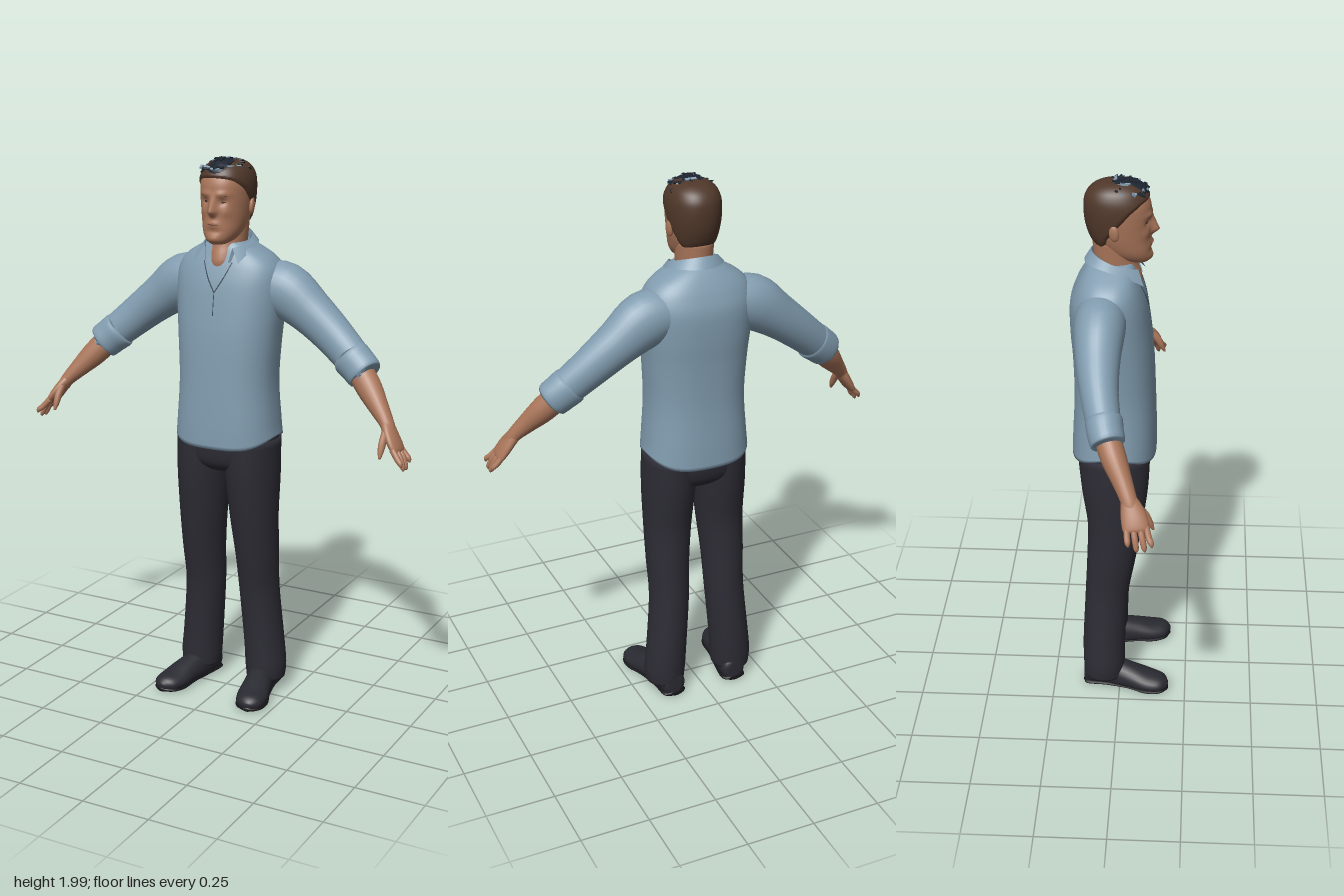
import * as THREE from 'three';

const mat = (name, color, side = THREE.FrontSide) => {
  const m = new THREE.MeshStandardMaterial({ color, side });
  m.name = name;
  return m;
};
const V = (x, y, z) => new THREE.Vector3(x, y, z);
const lerp = THREE.MathUtils.lerp;
const clamp = THREE.MathUtils.clamp;

// Catmull-Rom subdivision of rows of numbers
function smooth(rows, n = 4) {
  const out = [];
  for (let i = 0; i < rows.length - 1; i++) {
    const [a, b, c, d] = [rows[Math.max(i - 1, 0)], rows[i], rows[i + 1], rows[Math.min(i + 2, rows.length - 1)]];
    for (let k = 0; k < n; k++) {
      const t = k / n;
      out.push(b.map((_, j) => b[j] + 0.5 * t * (c[j] - a[j] + t * (2 * a[j] - 5 * b[j] + 4 * c[j] - d[j]
        + t * (3 * (b[j] - c[j]) + d[j] - a[j])))));
    }
  }
  out.push(rows[rows.length - 1]);
  return out;
}

// Skin a list of rings; closed rings wrap around and get end caps
function skinRings(rings, closed = true) {
  const n = rings[0].length, pos = [], idx = [];
  rings.forEach(r => r.forEach(p => pos.push(p.x, p.y, p.z)));
  for (let i = 0; i < rings.length - 1; i++) {
    for (let j = 0; j < (closed ? n : n - 1); j++) {
      const k = (j + 1) % n, a = i * n + j, b = i * n + k;
      idx.push(a, b, b + n, a, b + n, a + n);
    }
  }
  if (closed) [0, rings.length - 1].forEach((r, end) => {
    const c = rings[r].reduce((s, p) => s.add(p), V(0, 0, 0)).divideScalar(n);
    const m = pos.length / 3;
    pos.push(c.x, c.y, c.z);
    for (let j = 0; j < n; j++) {
      const a = r * n + j, b = r * n + (j + 1) % n;
      if (end) idx.push(a, b, m); else idx.push(b, a, m);
    }
  });
  const g = new THREE.BufferGeometry();
  g.setAttribute('position', new THREE.Float32BufferAttribute(pos, 3));
  g.setIndex(idx);
  g.computeVertexNormals();
  return g;
}

// Upright body section rows: [y, half width, front z, back z]
function body(rows, n, exp, move = p => p, sub = 4) {
  return skinRings(smooth(rows, sub).map(([y, w, f, b]) => Array.from({ length: n }, (_, j) => {
    const t = j / n * Math.PI * 2, s = Math.sin(t), c = Math.cos(t), e = 2 / exp;
    return move(V(w * Math.sign(s) * Math.abs(s) ** e, y, (f + b) / 2 + (f - b) / 2 * Math.sign(c) * Math.abs(c) ** e), t);
  })));
}

// Limb rows: [x, y, z, radius along ref, radius across]
function limb(rows, side = 1, n = 20, ref = V(0, 0, 1), sub = 4) {
  const r = smooth(rows, sub), c = r.map(q => V(q[0] * side, q[1], q[2]));
  return skinRings(r.map((q, i) => {
    const d = c[Math.min(i + 1, c.length - 1)].clone().sub(c[Math.max(i - 1, 0)]).normalize();
    const u = ref.clone().addScaledVector(d, -ref.dot(d)).normalize();
    const v = d.clone().cross(u);
    return Array.from({ length: n }, (_, j) => {
      const t = j / n * Math.PI * 2;
      return c[i].clone().addScaledVector(u, q[3] * Math.cos(t)).addScaledVector(v, q[4] * Math.sin(t));
    });
  }));
}

const HEAD = [[1.698, .025, .088, .02], [1.712, .048, .1, -.02], [1.74, .066, .103, -.06], [1.78, .077, .1, -.095],
  [1.82, .083, .1, -.112], [1.86, .087, .101, -.12], [1.9, .088, .1, -.122], [1.93, .083, .09, -.117],
  [1.955, .07, .073, -.1], [1.972, .045, .045, -.07], [1.978, .012, .01, -.03]];

// Soft bumps for the brow, eye sockets, lips, chin and nose
function face(p) {
  if (p.z < 0.03) return p;
  const g = (x, y, sx, sy) => Math.exp(-(((Math.abs(p.x) - x) / sx) ** 2) - ((p.y - y) / sy) ** 2);
  p.z += .006 * g(.03, 1.873, .025, .01) - .009 * g(.033, 1.846, .015, .012) + .006 * g(0, 1.77, .022, .012)
    - .004 * g(0, 1.745, .03, .008) + .006 * g(0, 1.718, .025, .013) + .004 * g(.045, 1.81, .015, .015);
  const k = p.y > 1.812 ? clamp((1.875 - p.y) / .063, 0, 1) : clamp((p.y - 1.79) / .022, 0, 1);
  p.z += .03 * k * Math.exp(-((p.x / lerp(.009, .014, k)) ** 2));
  return p;
}

// Hair is the head shape pushed outward behind the hairline and inward in front of it
const LINE = [[1.735, -.2], [1.745, -.06], [1.8, -.045], [1.85, -.005], [1.89, .03], [1.92, .07], [1.94, .13], [2.1, .2]];
function hairMove(p) {
  const i = clamp(LINE.findIndex(l => l[0] > p.y), 1, LINE.length - 1), [a, b] = [LINE[i - 1], LINE[i]];
  const z = lerp(a[1], b[1], clamp((p.y - a[0]) / (b[0] - a[0]), 0, 1));
  const k = clamp((z - p.z) / .012, -1, 1) * .007;
  return p.add(V(p.x, p.y - 1.86, p.z + .01).normalize().multiplyScalar(k));
}

export function createModel() {
  const model = new THREE.Group();
  model.name = 'standingMan';
  const skin = mat('skin', 0xaa765a), shirt = mat('shirt blue', 0x829db0, THREE.DoubleSide);
  const seam = mat('seam', 0x3f4f5c), trousers = mat('trousers', 0x2d2c35), shoe = mat('shoe', 0x2a2a32);
  const sole = mat('sole', 0x16161a), hair = mat('hair', 0x50382a), crown = mat('crown hair', 0x1e2530);
  const lips = mat('lips', 0x85523f), eye = mat('eye', 0x3a2c26);
  const add = (name, g, m) => {
    const mesh = new THREE.Mesh(g, m);
    mesh.name = name;
    model.add(mesh);
    return mesh;
  };
  const ball = (name, m, [x, y, z], [a, b, c]) => {
    const o = add(name, new THREE.SphereGeometry(1, 20, 14), m);
    o.position.set(x, y, z);
    o.scale.set(a, b, c);
    return o;
  };

  // Shirt body with a hem that rises at the sides
  add('shirtBody', body([[.968, .195, .127, -.177], [1.05, .19, .127, -.174], [1.2, .18, .122, -.167],
    [1.35, .188, .115, -.171], [1.45, .197, .105, -.178], [1.55, .202, .09, -.178], [1.61, .192, .074, -.16],
    [1.65, .16, .06, -.14], [1.68, .11, .05, -.12], [1.7, .07, .042, -.1]], 48, 2.4,
  (p, t) => (p.y < 1.04 && (p.y += .04 * Math.sin(t) ** 4 * (1.04 - p.y) / .072), p)), shirt);

  // Folded collar, open at the front
  const collarRow = (t0, w, f, b, yf) => Array.from({ length: 33 }, (_, j) => {
    const t = lerp(t0, Math.PI * 2 - t0, j / 32), c = Math.cos(t);
    return V(w * Math.sin(t), yf((1 + c) / 2), -.02 + c * (c > 0 ? f : b));
  });
  add('collar', skinRings([collarRow(.95, .105, .17, .108, k => 1.7 - .13 * k ** 3),
    collarRow(.72, .083, .105, .085, k => 1.738 - .06 * k), collarRow(.72, .078, .1, .08, k => 1.736 - .06 * k),
    collarRow(.6, .076, .11, .08, k => 1.68 - .05 * k)], false), shirt);

  // Neck opening and placket seams
  const tube = (name, pts, r) => add(name, new THREE.TubeGeometry(new THREE.CatmullRomCurve3(pts.map(p => V(...p))), 16, r, 6), seam);
  for (const s of [1, -1]) tube('neckOpeningSeam', [[s * .055, 1.635, .062], [s * .03, 1.58, .083], [0, 1.53, .094]], .002);
  tube('placketSeam', [[0, 1.53, .094], [0, 1.49, .1], [0, 1.45, .105]], .0015);

  // Neck and head
  add('neck', body([[1.57, .045, .06, -.06], [1.625, .057, .072, -.07], [1.66, .06, .066, -.085], [1.7, .063, .052, -.095],
    [1.78, .068, .04, -.1]], 32, 2), skin);
  add('head', body(HEAD, 96, 2.15, face, 7), skin);
  add('hair', body(HEAD, 96, 2.15, hairMove, 7), hair);
  ball('mouth', lips, [0, 1.77, .1045], [.022, .0035, .004]);
  for (const s of [1, -1]) {
    ball('ear', skin, [s * .088, 1.826, -.022], [.01, .03, .018]).rotation.set(-.15, s * .3, 0);
    ball('eye', eye, [s * .033, 1.846, .083], [.012, .004, .004]).rotation.y = s * .4;
    ball('eyebrow', hair, [s * .034, 1.869, .093], [.017, .003, .004]).rotation.y = s * .4;
  }

  // Dark crown with loose flat tufts
  ball('crownHair', crown, [0, 1.942, .01], [.064, .046, .082]);
  let seed = 7;
  const rnd = () => (seed = (seed * 16807) % 2147483647) / 2147483647;
  for (let i = 0; i < 46; i++) {
    const a = rnd() * Math.PI * 2, r = Math.sqrt(rnd());
    const o = add('crownTuft', new THREE.BoxGeometry(.006 + rnd() * .008, .004, .03 + rnd() * .02), i % 4 ? crown : shirt);
    o.position.set(Math.sin(a) * r * .068, 1.992 - .038 * r * r, .01 + Math.cos(a) * r * .08);
    o.rotation.set(Math.cos(a) * r * .6, rnd() < .5 ? 0 : Math.PI / 2, -Math.sin(a) * r * .6);
  }

  // Hips
  add('hips', body([[.87, .1, .06, -.11], [.9, .17, .095, -.14], [.95, .188, .108, -.155], [1.02, .183, .11, -.155]], 40, 2.3), trousers);

  for (const s of [1, -1]) {
    // Sleeve, rolled cuff and forearm
    add('sleeve', limb([[.1, 1.55, -.06, .085, .08], [.2, 1.53, -.064, .088, .1], [.3, 1.463, -.064, .076, .082],
      [.4, 1.385, -.053, .064, .071], [.505, 1.297, -.028, .056, .063]], s, 28), shirt);
    add('cuff', limb([[.465, 1.328, -.036, .05, .05], [.467, 1.326, -.035, .062, .069], [.5, 1.3, -.028, .061, .068],
      [.53, 1.275, -.018, .058, .065], [.532, 1.273, -.017, .047, .05]], s, 28, V(0, 0, 1), 3), shirt);
    add('forearm', limb([[.5, 1.295, -.026, .044, .047], [.555, 1.235, .002, .043, .046], [.605, 1.18, .032, .034, .035],
      [.645, 1.135, .055, .028, .025], [.66, 1.11, .064, .03, .022]], s), skin);

    // Hand
    add('palm', limb([[.64, 1.142, .052, .024, .022], [.663, 1.108, .066, .038, .021], [.685, 1.075, .077, .044, .019],
      [.7, 1.052, .082, .042, .015], [.705, 1.045, .083, .03, .008]], s), skin);
    [[.115, .133, 1.01], [.094, .11, .992], [.072, .084, .99], [.051, .056, 1.008]].forEach(([z0, z1, y]) =>
      add('finger', limb([[.692, 1.062, z0, .01, .011], [.715, 1.035, lerp(z0, z1, .5), .0105, .011],
        [.73, y + .012, z1, .009, .009], [.733, y, z1 + .002, .003, .003]], s, 10), skin));
    add('thumb', limb([[.655, 1.118, .078, .016, .014], [.655, 1.085, .108, .015, .013], [.655, 1.055, .125, .011, .011],
      [.656, 1.03, .137, .004, .004]], s, 12), skin);

    // Trouser leg
    add('trouserLeg', limb([[.137, .05, -.06, .076, .072], [.137, .1, -.06, .078, .077], [.129, .2, -.06, .079, .075],
      [.113, .4, -.05, .08, .074], [.111, .55, -.034, .089, .079], [.105, .7, -.02, .1, .087],
      [.1, .85, -.02, .12, .095], [.096, .99, -.023, .13, .096]], s, 28), trousers);

    // Shoe with a flattened underside, and its sole
    const upper = limb([[.124, .045, -.136, .03, .02], [.125, .045, -.12, .05, .045], [.132, .045, -.04, .065, .047],
      [.15, .04, .04, .05, .053], [.166, .03, .11, .038, .058], [.178, .027, .16, .03, .046], [.182, .024, .184, .012, .014]],
    s, 24, V(0, 1, 0));
    const p = upper.attributes.position;
    for (let i = 0; i < p.count; i++) p.setY(i, Math.max(p.getY(i), .012));
    upper.computeVertexNormals();
    add('shoe', upper, shoe);
    add('sole', limb([[.124, .01, -.138, .008, .022], [.125, .01, -.12, .01, .047], [.132, .011, -.05, .01, .047],
      [.15, .012, .04, .008, .05], [.166, .01, .11, .01, .06], [.178, .011, .16, .01, .047], [.182, .013, .185, .007, .014]],
    s, 20, V(0, 1, 0)), sole);
  }
  return model;
}
